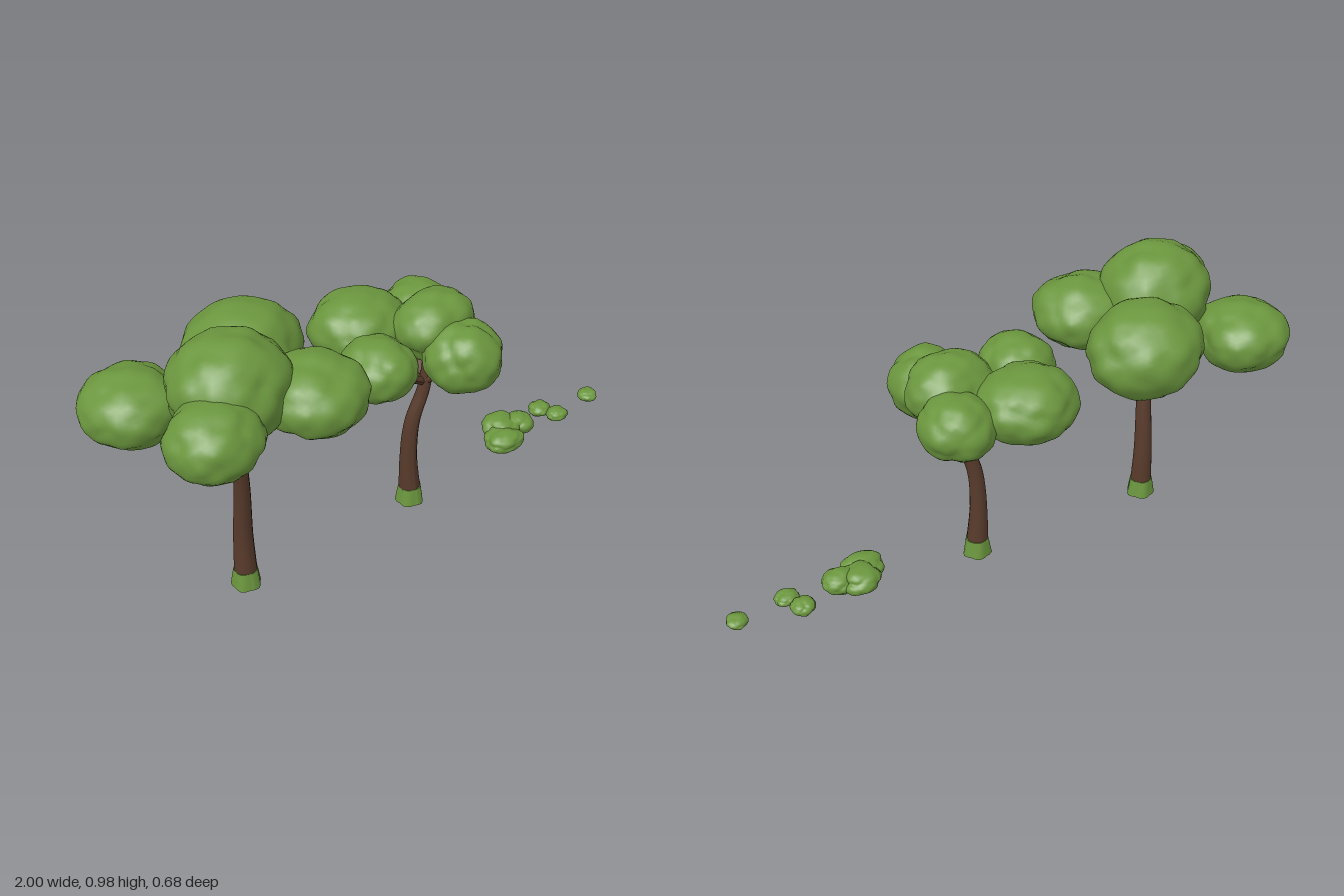
import * as THREE from 'three';
import { mergeVertices } from 'three/addons/utils/BufferGeometryUtils.js';

const leaf = new THREE.MeshStandardMaterial({ color: 0x6b963e });
leaf.name = 'leaf green';
const bark = new THREE.MeshStandardMaterial({ color: 0x573a2b });
bark.name = 'bark brown';

// Seeded random numbers
function seeded(seed) {
  let s = seed * 7919 + 17;
  return () => {
    s = (s * 16807) % 2147483647;
    return s / 2147483647;
  };
}

// Lumpy ellipsoid: rounded bumps around random directions plus a gentle ripple
function clump(name, [x, y, z, rx, ry, rz], seed, lumps, depth, floor = 1) {
  const rand = seeded(seed);
  for (let i = 0; i < 5; i++) rand();
  const seeds = Array.from({ length: lumps }, () => {
    const h = rand() * 2 - 1, a = rand() * Math.PI * 2, r = Math.sqrt(1 - h * h);
    return new THREE.Vector3(r * Math.cos(a), h, r * Math.sin(a));
  });
  let geo = new THREE.IcosahedronGeometry(1, 9);
  geo.deleteAttribute('normal');
  geo.deleteAttribute('uv');
  geo = mergeVertices(geo, 1e-4);
  const pos = geo.attributes.position, v = new THREE.Vector3();
  for (let i = 0; i < pos.count; i++) {
    v.fromBufferAttribute(pos, i).normalize();
    const near = Math.min(...seeds.map((s) => v.angleTo(s)));
    const ripple = Math.sin(v.x * 9 + seed) * Math.sin(v.y * 8 + seed * 2) * Math.sin(v.z * 9 - seed);
    v.multiplyScalar(1.03 - depth * near * near + 0.03 * ripple);
    pos.setXYZ(i, v.x * rx, Math.max(v.y, -floor) * ry, v.z * rz);
  }
  geo.computeVertexNormals();
  const mesh = new THREE.Mesh(geo, leaf);
  mesh.name = name;
  mesh.position.set(x, y, z);
  return mesh;
}

// Tapered limb along a smooth path; radii are spread evenly along it
function limb(name, points, radii, sides = 10) {
  const curve = new THREE.CatmullRomCurve3(points.map((p) => new THREE.Vector3(...p)));
  const steps = 24;
  const geo = new THREE.TubeGeometry(curve, steps, 1, sides);
  const pos = geo.attributes.position, v = new THREE.Vector3();
  for (let i = 0; i < pos.count; i++) {
    const t = Math.floor(i / (sides + 1)) / steps;
    const f = t * (radii.length - 1), k = Math.min(Math.floor(f), radii.length - 2);
    const r = THREE.MathUtils.lerp(radii[k], radii[k + 1], f - k);
    const c = curve.getPointAt(t);
    v.fromBufferAttribute(pos, i).sub(c).multiplyScalar(r).add(c);
    pos.setXYZ(i, v.x, v.y, v.z);
  }
  geo.computeVertexNormals();
  const mesh = new THREE.Mesh(geo, bark);
  mesh.name = name;
  return mesh;
}

// Flared, fluted grassy foot around a trunk
function foot(x, z) {
  const geo = new THREE.CylinderGeometry(0.039, 0.048, 0.064, 20, 1);
  const pos = geo.attributes.position;
  for (let i = 0; i < pos.count; i++) {
    const a = Math.atan2(pos.getZ(i), pos.getX(i));
    const s = 1 + (pos.getY(i) < 0 ? 0.08 : 0.03) * Math.cos(a * 5);
    pos.setX(i, pos.getX(i) * s);
    pos.setZ(i, pos.getZ(i) * s);
  }
  geo.computeVertexNormals();
  const mesh = new THREE.Mesh(geo, leaf);
  mesh.name = 'trunkFoot';
  mesh.position.set(x, 0.032, z);
  return mesh;
}

function tree(name, trunk, radii, fork, tips, crowns, seed) {
  const g = new THREE.Group();
  g.name = name;
  g.add(foot(trunk[0][0], trunk[0][2]), limb('trunk', trunk, radii, 14));
  tips.forEach((tip) => {
    // Branches leave the fork outward, then bend up into the leaves
    const mid = [0, 1, 2].map((k) => fork[k] + (tip[k] - fork[k]) * (k === 1 ? 0.42 : 0.5));
    g.add(limb('branch', [fork, mid, tip], [0.016, 0.012, 0.009], 8));
  });
  crowns.forEach((c, i) => g.add(clump('crownClump', c, seed + i, 30, 0.24)));
  return g;
}

function bush(name, clumps, seed) {
  const g = new THREE.Group();
  g.name = name;
  clumps.forEach((c, i) => g.add(clump('bushClump', c, seed + i, 22, 0.38, 0.8)));
  return g;
}

export function createModel() {
  const model = new THREE.Group();
  model.name = 'treesAndBushes';

  model.add(tree('tallTree',
    [[-0.61, 0.03, 0.015], [-0.611, 0.2, 0.017], [-0.617, 0.4, 0.04], [-0.632, 0.55, 0.064], [-0.638, 0.72, 0.068]],
    [0.039, 0.032, 0.027, 0.022, 0.017],
    [-0.632, 0.585, 0.066],
    [[-0.47, 0.70, -0.1], [-0.46, 0.71, 0.14], [-0.77, 0.72, 0.18], [-0.81, 0.68, -0.14]],
    [
      [-0.84, 0.70, -0.18, 0.16, 0.115, 0.16],
      [-0.455, 0.748, -0.16, 0.195, 0.158, 0.18],
      [-0.645, 0.81, 0.06, 0.19, 0.165, 0.185],
      [-0.42, 0.745, 0.165, 0.165, 0.125, 0.165],
      [-0.79, 0.762, 0.195, 0.145, 0.115, 0.14],
    ], 11));

  model.add(tree('shortTree',
    [[0.08, 0.03, 0.015], [0.072, 0.2, 0.016], [0.08, 0.34, 0.024], [0.12, 0.48, 0.038], [0.135, 0.66, 0.045]],
    [0.039, 0.03, 0.026, 0.021, 0.017],
    [0.115, 0.495, 0.035],
    [[-0.08, 0.65, 0.08], [0.0, 0.63, -0.1], [0.2, 0.63, -0.1], [0.17, 0.61, 0.14]],
    [
      [-0.015, 0.675, -0.145, 0.168, 0.118, 0.155],
      [0.225, 0.655, -0.125, 0.12, 0.105, 0.13],
      [0.165, 0.695, 0.03, 0.15, 0.115, 0.13],
      [-0.12, 0.67, 0.09, 0.125, 0.1, 0.125],
      [0.17, 0.64, 0.17, 0.132, 0.12, 0.13],
    ], 31));

  model.add(bush('largeBush', [
    [0.5, 0.085, 0.045, 0.08, 0.042, 0.065],
    [0.54, 0.095, -0.012, 0.075, 0.044, 0.068],
    [0.595, 0.09, 0.015, 0.063, 0.042, 0.055],
  ], 51));
  model.add(bush('mediumBush', [
    [0.745, 0.073, -0.02, 0.042, 0.027, 0.042],
    [0.775, 0.073, 0.043, 0.043, 0.025, 0.037],
  ], 61));
  model.add(bush('smallBush', [[0.958, 0.07, 0.025, 0.04, 0.022, 0.038]], 71));
  return model;
}
